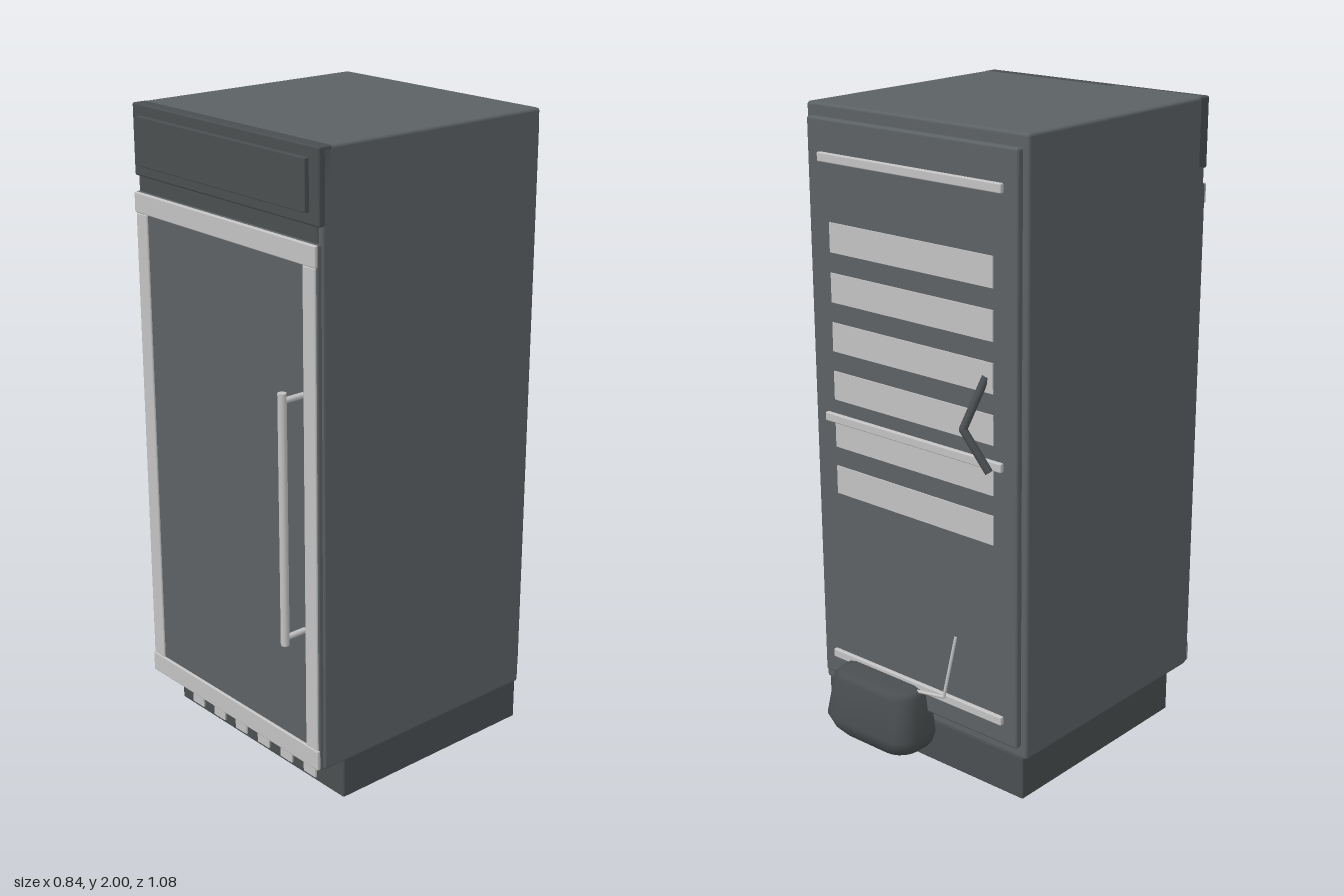
import * as THREE from 'three';
import { RoundedBoxGeometry } from 'three/addons/geometries/RoundedBoxGeometry.js';

const paint = (name, color) => {
  const m = new THREE.MeshStandardMaterial({ color });
  m.name = name;
  return m;
};

export function createModel() {
  const model = new THREE.Group();
  model.name = 'refrigerator';
  const body = paint('slate grey', 0x5c6164);
  const dark = paint('charcoal', 0x4a4e50);
  const steel = paint('light steel', 0xc2c2c2);

  const add = (name, geometry, material) => {
    const mesh = new THREE.Mesh(geometry, material);
    mesh.name = name;
    model.add(mesh);
    return mesh;
  };
  // Box given by its limits on each axis, with an optional softened edge
  const box = (name, [x0, x1], [y0, y1], [z0, z1], material, r = 0) => {
    const size = [x1 - x0, y1 - y0, z1 - z0];
    const g = r ? new RoundedBoxGeometry(...size, 2, r) : new THREE.BoxGeometry(...size);
    add(name, g, material).position.set((x0 + x1) / 2, (y0 + y1) / 2, (z0 + z1) / 2);
  };
  // Round rod between two points
  const rod = (name, from, to, r, material) => {
    const a = new THREE.Vector3(...from), b = new THREE.Vector3(...to);
    const dir = b.clone().sub(a);
    const mesh = add(name, new THREE.CylinderGeometry(r, r, dir.length(), 12), material);
    mesh.position.copy(a).add(b).multiplyScalar(0.5);
    mesh.quaternion.setFromUnitVectors(new THREE.Vector3(0, 1, 0), dir.normalize());
  };

  // Cabinet and plinth
  box('cabinet', [-0.42, 0.42], [0.135, 2], [-0.39, 0.437], body, 0.01);
  box('plinth', [-0.407, 0.407], [0, 0.14], [-0.39, 0.35], dark, 0.005);
  for (let i = 0; i < 6; i++) {
    const x = -0.284 + i * 0.113;
    box('plinthVent', [x - 0.028, x + 0.028], [0.035, 0.107], [0.372, 0.378], steel);
  }

  // Header above the door
  box('header', [-0.42, 0.42], [1.785, 2], [0.4, 0.448], dark, 0.006);
  box('headerGap', [-0.405, 0.405], [1.735, 1.787], [0.42, 0.44], dark);
  box('headerPanel', [-0.38, 0.38], [1.82, 1.967], [0.44, 0.463], dark, 0.003);

  // Door with its steel frame
  box('door', [-0.415, 0.415], [0.138, 1.738], [0.42, 0.45], body, 0.005);
  box('doorTopRail', [-0.414, 0.414], [1.675, 1.737], [0.44, 0.458], steel, 0.004);
  box('doorBottomRail', [-0.414, 0.414], [0.14, 0.205], [0.44, 0.458], steel, 0.004);
  for (const s of [-1, 1]) {
    const xs = [s * 0.358, s * 0.41].sort((a, b) => a - b);
    box('doorStile', xs, [0.205, 1.675], [0.44, 0.456], steel, 0.004);
  }

  // Handle
  rod('handleBar', [0.351, 0.558, 0.524], [0.351, 1.326, 0.524], 0.013, steel);
  for (const y of [0.58, 1.302]) rod('handleMount', [0.351, y, 0.45], [0.351, y, 0.524], 0.009, steel);

  // Back panel, louvres and rails
  box('backPanel', [-0.4, 0.4], [0.175, 1.962], [-0.412, -0.385], body, 0.008);
  for (let i = 0; i < 6; i++) {
    const top = 1.66 - i * 0.152;
    box('backLouvre', [-0.315, 0.315], [top - 0.09, top], [-0.416, -0.41], steel);
  }
  for (const y of [1.85, 1.055, 0.255]) {
    box('backRail', [-0.35, 0.35], [y - 0.014, y + 0.014], [-0.424, -0.408], steel, 0.004);
  }

  // Bent pipe on the back
  const bend = [-0.255, 1.165, -0.474];
  rod('pipeUpper', [-0.285, 1.31, -0.41], bend, 0.012, dark);
  rod('pipeLower', bend, [-0.325, 1.045, -0.445], 0.012, dark);
  add('pipeElbow', new THREE.SphereGeometry(0.012, 12, 8), dark).position.set(...bend);

  // Thin line rising from the compressor
  const corner = [-0.13, 0.265, -0.431];
  rod('compressorLine', [0.02, 0.24, -0.431], corner, 0.005, steel);
  rod('compressorLineRiser', corner, [-0.165, 0.47, -0.413], 0.005, steel);

  // Compressor shell: rounded rectangles stacked upwards, [height, inset]
  const levels = [[0.035, 0.06], [0.04, 0.035], [0.065, 0.015], [0.105, 0], [0.235, 0.018], [0.25, 0.03], [0.257, 0.055]];
  const positions = [], index = [], steps = 5, n = 4 * (steps + 1);
  for (const [y, inset] of levels) {
    const hx = 0.181 - inset, z0 = -0.539 + inset, z1 = -0.385, r = 0.065;
    for (let c = 0; c < 4; c++) {
      const rc = c < 2 ? 0.004 : r;
      const cx = (c === 0 || c === 3 ? 1 : -1) * (hx - rc);
      const cz = c < 2 ? z1 - rc : z0 + rc;
      for (let k = 0; k <= steps; k++) {
        const a = (c + k / steps) * Math.PI / 2;
        positions.push(0.125 + cx + rc * Math.cos(a), y, cz + rc * Math.sin(a));
      }
    }
  }
  for (let l = 0; l < levels.length - 1; l++) {
    for (let k = 0; k < n; k++) {
      const a = l * n + k, b = l * n + (k + 1) % n;
      index.push(a, a + n, b, b, a + n, b + n);
    }
  }
  const last = (levels.length - 1) * n;
  for (let k = 1; k < n - 1; k++) {
    index.push(0, k, k + 1);
    index.push(last, last + k + 1, last + k);
  }
  const shell = new THREE.BufferGeometry();
  shell.setAttribute('position', new THREE.Float32BufferAttribute(positions, 3));
  shell.setIndex(index);
  shell.computeVertexNormals();
  add('compressor', shell, dark);

  return model;
}
